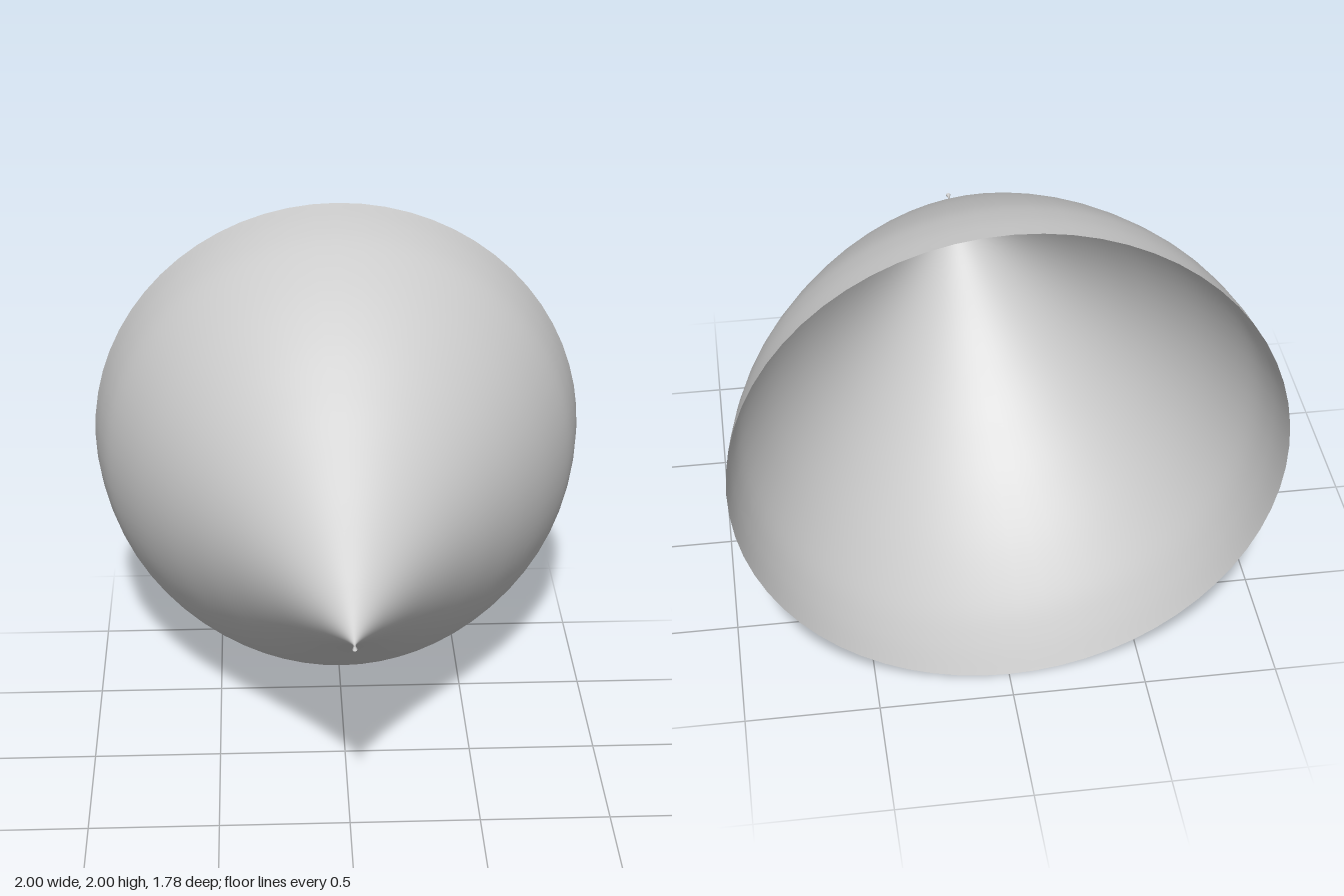
import * as THREE from 'three';

export function createModel() {
  const group = new THREE.Group();
  group.name = 'flaredHorn';

  // Profile as [radius, z], from the open mouth to the tiny flared tip
  const profile = [
    [1.0, -0.89], [0.975, -0.75], [0.93, -0.6], [0.835, -0.4], [0.715, -0.2],
    [0.577, 0], [0.432, 0.2], [0.29, 0.4], [0.157, 0.6], [0.1, 0.69],
    [0.046, 0.78], [0.016, 0.835], [0.004, 0.865], [0.009, 0.89],
  ].map(([r, z]) => new THREE.Vector2(r, z));
  const points = new THREE.SplineCurve(profile).getPoints(78);

  // Thin open shell turned around the z axis; reversed so it runs tip to mouth or back consistently outward
  const geometry = new THREE.LatheGeometry(points, 64);
  geometry.rotateX(Math.PI / 2);
  const shell = new THREE.Mesh(
    geometry,
    new THREE.MeshStandardMaterial({ color: 0xcccccc, side: THREE.DoubleSide }),
  );
  shell.name = 'shell';
  shell.position.y = 1;
  group.add(shell);

  return group;
}
